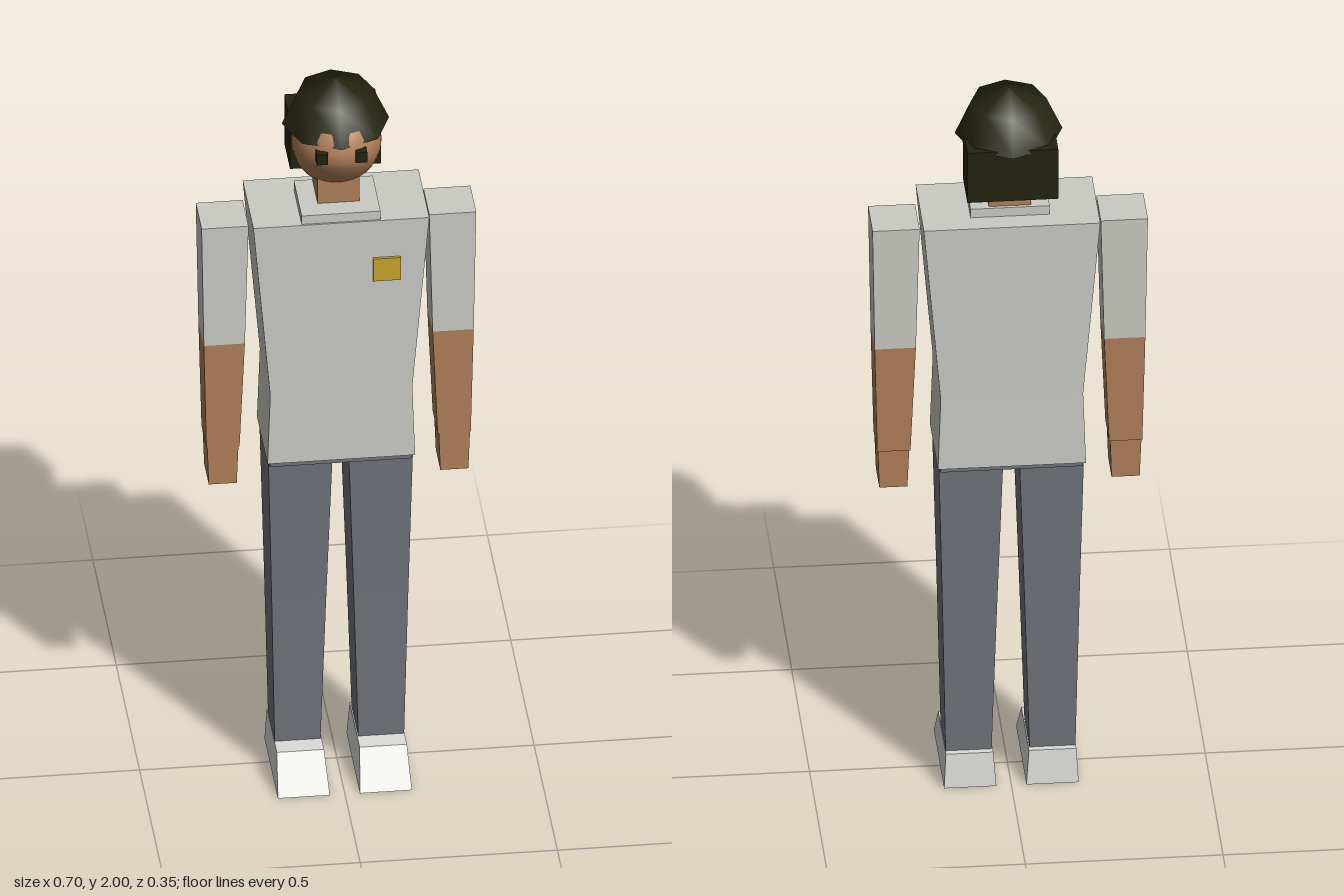
import * as THREE from 'three';

const mat = (name, color, opts = {}) => {
  const m = new THREE.MeshStandardMaterial({ color, ...opts });
  m.name = name;
  return m;
};

// Box whose bottom and top rectangles differ: each is [x0, x1, z0, z1]
function taper(y0, y1, bottom, top) {
  const g = new THREE.BoxGeometry(1, 1, 1);
  const p = g.attributes.position;
  for (let i = 0; i < p.count; i++) {
    const up = p.getY(i) > 0;
    const r = up ? top : bottom;
    p.setXYZ(i, p.getX(i) > 0 ? r[1] : r[0], up ? y1 : y0, p.getZ(i) > 0 ? r[3] : r[2]);
  }
  g.computeVertexNormals();
  return g;
}

export function createModel() {
  const shirt = mat('shirtGrey', 0xcacbc5);
  const skin = mat('skin', 0xb08059);
  const trousers = mat('trouserGrey', 0x70747a);
  const shoe = mat('shoeWhite', 0xdcdcd8);
  const dark = mat('darkHair', 0x23230f, { side: THREE.DoubleSide });
  const gold = mat('gold', 0xc9a32c);

  const model = new THREE.Group();
  model.name = 'figure';
  const add = (name, geometry, material, parent = model) => {
    const m = new THREE.Mesh(geometry, material);
    m.name = name;
    parent.add(m);
    return m;
  };

  // Torso
  const waist = [-0.18, 0.18, -0.128, 0.096];
  add('chest', taper(1.15, 1.65, waist, [-0.223, 0.223, -0.132, 0.097]), shirt);
  add('shirtHem', taper(0.947, 1.15, [-0.187, 0.187, -0.13, 0.097], waist), shirt);
  const hips = [-0.18, 0.18, -0.12, 0.088];
  add('hips', taper(0.932, 0.947, hips, hips), trousers);
  const collar = [-0.1, 0.1, -0.077, 0.092];
  add('collar', taper(1.65, 1.675, collar, collar), shirt);
  add('badge', new THREE.BoxGeometry(0.07, 0.066, 0.009), gold).position.set(0.115, 1.508, 0.1);

  // Neck and head, with the jaw narrowing front to back
  const neck = [-0.053, 0.053, -0.068, 0.038];
  add('neck', taper(1.675, 1.78, neck, neck), skin);
  const headShape = new THREE.SphereGeometry(1, 24, 16);
  const p = headShape.attributes.position;
  for (let i = 0; i < p.count; i++) {
    p.setZ(i, p.getZ(i) * (1 - 0.4 * Math.max(0, -p.getY(i))));
  }
  headShape.scale(0.114, 0.125, 0.12);
  headShape.computeVertexNormals();
  add('head', headShape, skin).position.set(0, 1.835, -0.01);

  // Hair and eight-sided cap
  const hair = [-0.115, 0.115, -0.153, -0.03];
  add('hair', taper(1.74, 1.885, hair, hair), dark);
  const capShape = new THREE.SphereGeometry(1, 8, 2, 0, Math.PI * 2, 0, Math.PI / 2);
  capShape.scale(0.136, 0.125, 0.142);
  capShape.computeVertexNormals();
  add('cap', capShape, dark).position.set(0, 1.875, -0.032);

  // Paired parts, given for the left and mirrored to the right
  for (const side of [1, -1]) {
    const tag = side > 0 ? 'left' : 'right';
    const pair = (name, y0, y1, bottom, top, material) => {
      const flip = ([a, b, c, d]) => (side > 0 ? [a, b, c, d] : [-b, -a, c, d]);
      add(tag + name, taper(y0, y1, flip(bottom), flip(top)), material);
    };

    const eye = [0.035, 0.064, 0.08, 0.112];
    pair('Eye', 1.835, 1.865, eye, eye, dark);

    // Arm
    const elbow = [0.238, 0.342, -0.075, 0.042];
    const wrist = [0.251, 0.335, -0.068, 0.039];
    pair('Sleeve', 1.275, 1.625, elbow, [0.229, 0.348, -0.08, 0.045], shirt);
    pair('Forearm', 0.97, 1.275, wrist, elbow, skin);
    pair('Hand', 0.86, 0.97, [0.258, 0.329, -0.06, 0.038], [0.254, 0.333, -0.064, 0.039], skin);

    // Leg
    const knee = [0.035, 0.173, -0.1, 0.068];
    pair('Thigh', 0.52, 0.94, knee, [0.021, 0.183, -0.112, 0.082], trousers);
    pair('Shin', 0.09, 0.52, [0.048, 0.164, -0.088, 0.055], knee, trousers);
    pair('Shoe', 0, 0.095, [0.038, 0.17, -0.113, 0.175], [0.045, 0.165, -0.105, 0.108], shoe);
  }
  return model;
}
